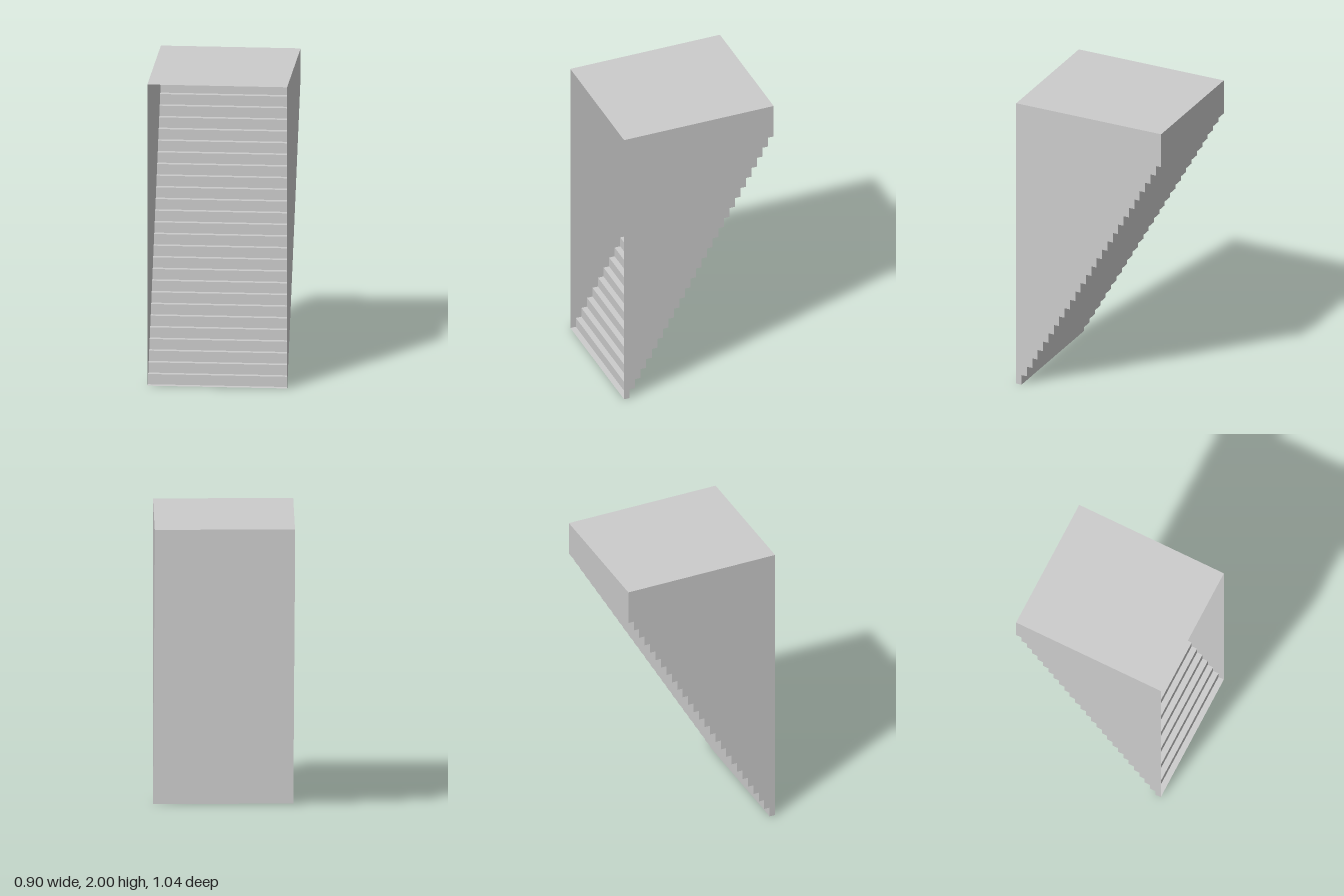
import * as THREE from 'three';

const W = 0.904, H = 2, D = 1.044;      // overall size
const TREADS = 27, RISE = 1.765 / 26, RUN = D / TREADS;

export function createModel() {
  const model = new THREE.Group();
  const material = new THREE.MeshStandardMaterial({
    color: 0xcccccc, side: THREE.DoubleSide, flatShading: true,
  });

  const add = (parent, name, geometry, x, y, z) => {
    const mesh = new THREE.Mesh(geometry, material);
    mesh.name = name;
    mesh.position.set(x, y, z);
    parent.add(mesh);
    return mesh;
  };

  // Stair flight: thin treads and risers climbing from front to back
  const stairs = new THREE.Group();
  stairs.name = 'stairs';
  model.add(stairs);
  const profile = new THREE.Shape().moveTo(-D / 2, H).lineTo(-D / 2, 0);
  for (let i = 0; i < TREADS; i++) {
    const y = i * RISE;
    const z = D / 2 - (i + 1) * RUN;
    const top = i === TREADS - 1 ? H : y + RISE; // last riser is the tall back wall
    add(stairs, 'tread', new THREE.PlaneGeometry(W, RUN).rotateX(-Math.PI / 2), 0, y, z + RUN / 2);
    add(stairs, i === TREADS - 1 ? 'backWall' : 'riser',
      new THREE.PlaneGeometry(W, top - y), 0, (y + top) / 2, z);
    profile.lineTo(-z, y).lineTo(-z, top);
  }
  profile.closePath();

  // Side walls follow the stepped profile (shape x runs towards -z)
  const wall = new THREE.ShapeGeometry(profile).rotateY(Math.PI / 2);
  add(model, 'leftWall', wall, W / 2, 0, 0);
  add(model, 'rightWall', wall.clone().rotateY(Math.PI).scale(1, 1, -1), -W / 2, 0, 0)
    .geometry.computeVertexNormals();

  // Flat ceiling; the front stays open
  add(model, 'ceiling', new THREE.PlaneGeometry(W, D).rotateX(-Math.PI / 2), 0, H, 0);

  return model;
}
